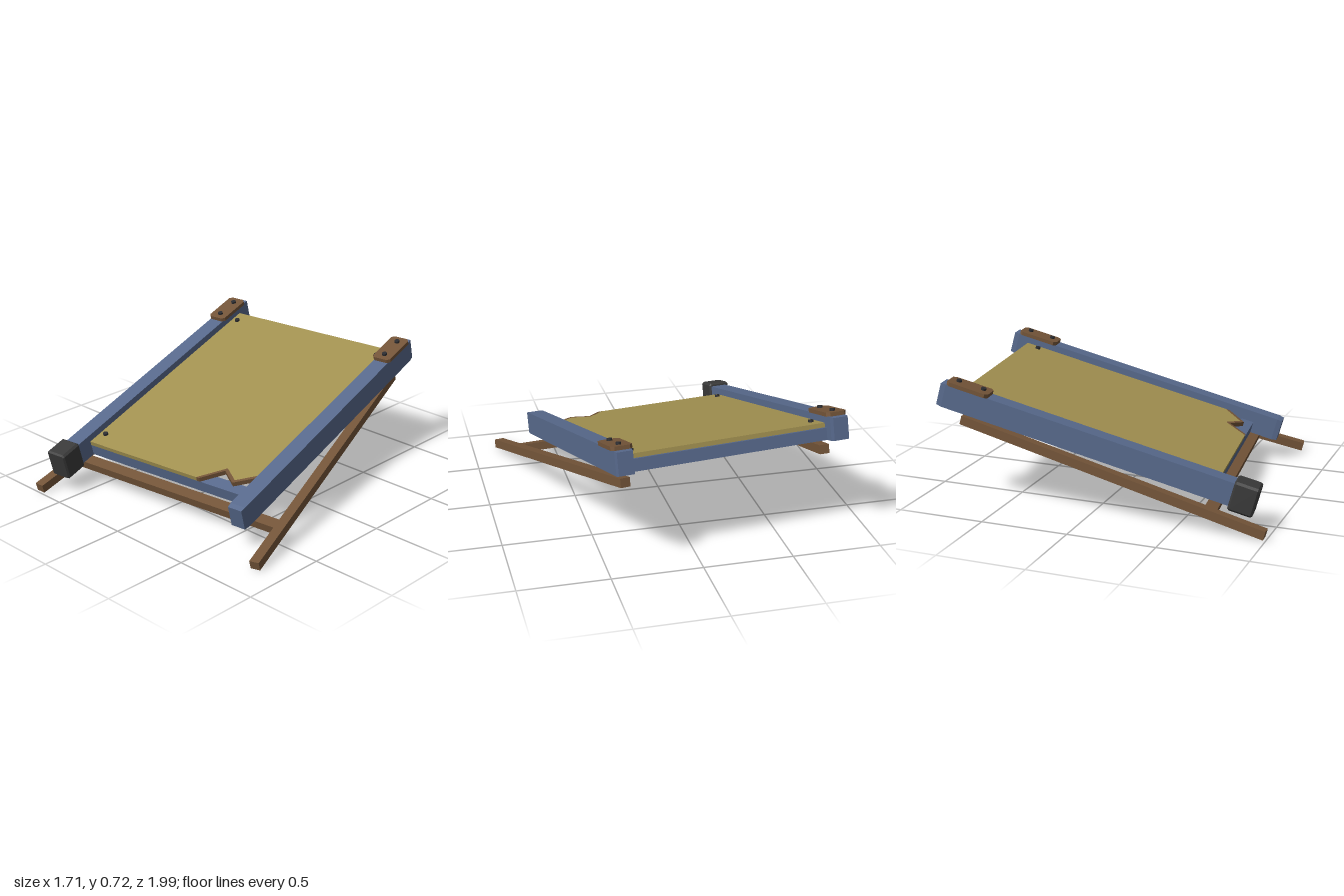
import * as THREE from 'three';

const mat = (name, color) => {
  const m = new THREE.MeshStandardMaterial({ color });
  m.name = name;
  return m;
};

export function createModel() {
  const blue = mat('blue painted wood', 0x586a8d);
  const brown = mat('brown wood', 0x745539);
  const olive = mat('olive canvas', 0xa39251);
  const black = mat('black rubber', 0x3a3a3a);
  const dark = mat('dark bolt metal', 0x2c2d31);

  const model = new THREE.Group();
  model.name = 'tiltedFrame';
  // Everything is built flat, then pitched forward and turned a little
  const frame = new THREE.Group();
  frame.name = 'frame';
  frame.rotation.set(THREE.MathUtils.degToRad(15), THREE.MathUtils.degToRad(7), 0, 'YXZ');
  model.add(frame);

  const add = (name, geometry, material, x = 0, y = 0, z = 0) => {
    const m = new THREE.Mesh(geometry, material);
    m.name = name;
    m.position.set(x, y, z);
    frame.add(m);
    return m;
  };
  const box = (name, material, x0, x1, y0, y1, z0, z1) =>
    add(name, new THREE.BoxGeometry(x1 - x0, y1 - y0, z1 - z0), material,
      (x0 + x1) / 2, (y0 + y1) / 2, (z0 + z1) / 2);

  // Rectangle with cut corners
  const cutRect = (w, h, c) => {
    const a = w / 2, b = h / 2;
    const pts = c
      ? [[-a + c, -b], [a - c, -b], [a, -b + c], [a, b - c], [a - c, b], [-a + c, b], [-a, b - c], [-a, -b + c]]
      : [[-a, -b], [a, -b], [a, b], [-a, b]];
    return new THREE.Shape(pts.map(p => new THREE.Vector2(...p)));
  };
  // Bar along z with bevelled ends
  const bar = (w, h, length, cut, size, thick) => {
    const g = new THREE.ExtrudeGeometry(cutRect(w, h, cut), {
      depth: length - 2 * thick, bevelSegments: 1, bevelSize: size, bevelOffset: -size, bevelThickness: thick,
    });
    return g.translate(0, 0, -length / 2 + thick);
  };
  // Flat plate from plan points [x, z]
  const plate = (pts, thickness) =>
    new THREE.ExtrudeGeometry(new THREE.Shape(pts.map(([x, z]) => new THREE.Vector2(x, -z))),
      { depth: thickness, bevelEnabled: false }).rotateX(-Math.PI / 2);

  const bolt = (name, x, y, z) =>
    add(name, new THREE.CylinderGeometry(0.015, 0.015, 0.014, 12), dark, x, y + 0.005, z);

  // Side rails with bolted plates near the back ends
  for (const [side, x] of [['left', 0.525], ['right', -0.697]]) {
    add(side + 'Rail', bar(0.095, 0.132, 1.749, 0, 0.004, 0.03), blue, x, 0.388, -0.1785);
    const p = new THREE.ExtrudeGeometry(cutRect(0.118, 0.24, 0.017), { depth: 0.022, bevelEnabled: false });
    add(side + 'CornerPlate', p.rotateX(-Math.PI / 2), brown, x, 0.454, -0.9);
    for (const z of [-0.969, -0.825]) bolt(side + 'PlateBolt', x + 0.003, 0.476, z);
  }

  // Rubber cap on the right rail's front end
  add('rubberCap', bar(0.13, 0.168, 0.138, 0.012, 0.008, 0.01), black, -0.703, 0.388, 0.696);

  // Crossbars between the rails
  box('frontCrossbar', blue, -0.655, 0.482, 0.322, 0.389, 0.457, 0.532);
  box('backCrossbar', blue, -0.655, 0.482, 0.322, 0.389, -0.975, -0.9);

  // Canvas panel with one torn corner
  const tear = [[0.135, 0.533], [0.252, 0.395], [0.35, 0.464], [0.482, 0.345]];
  add('panel', plate([[-0.655, -0.957], [-0.655, 0.533], ...tear, [0.482, -0.957]], 0.025), olive, 0, 0.3895, 0);
  const outer = tear.map(([x, z], i) => i ? [x, z + 0.024] : [x + 0.02, z]);
  add('tornEdge', plate([...tear, ...outer.reverse()], 0.026), brown, 0, 0.389, 0);
  for (const [x, z] of [[-0.608, -0.875], [0.434, -0.875], [-0.608, 0.44]]) bolt('panelBolt', x, 0.4145, z);

  // Splayed lower legs
  const leg = (name, x0, z0, x1, z1) => {
    const dx = x1 - x0, dz = z1 - z0;
    const m = add(name, new THREE.BoxGeometry(0.056, 0.05, Math.hypot(dx, dz)), brown,
      (x0 + x1) / 2, 0.261, (z0 + z1) / 2);
    m.rotation.y = Math.atan2(dx, dz);
  };
  leg('leftLeg', 0.494, -0.916, 0.73, 0.85);
  leg('rightLeg', -0.658, -0.914, -0.8, 0.861);
  box('legCrossbar', brown, -0.77, 0.69, 0.237, 0.285, 0.512, 0.58);

  return model;
}
